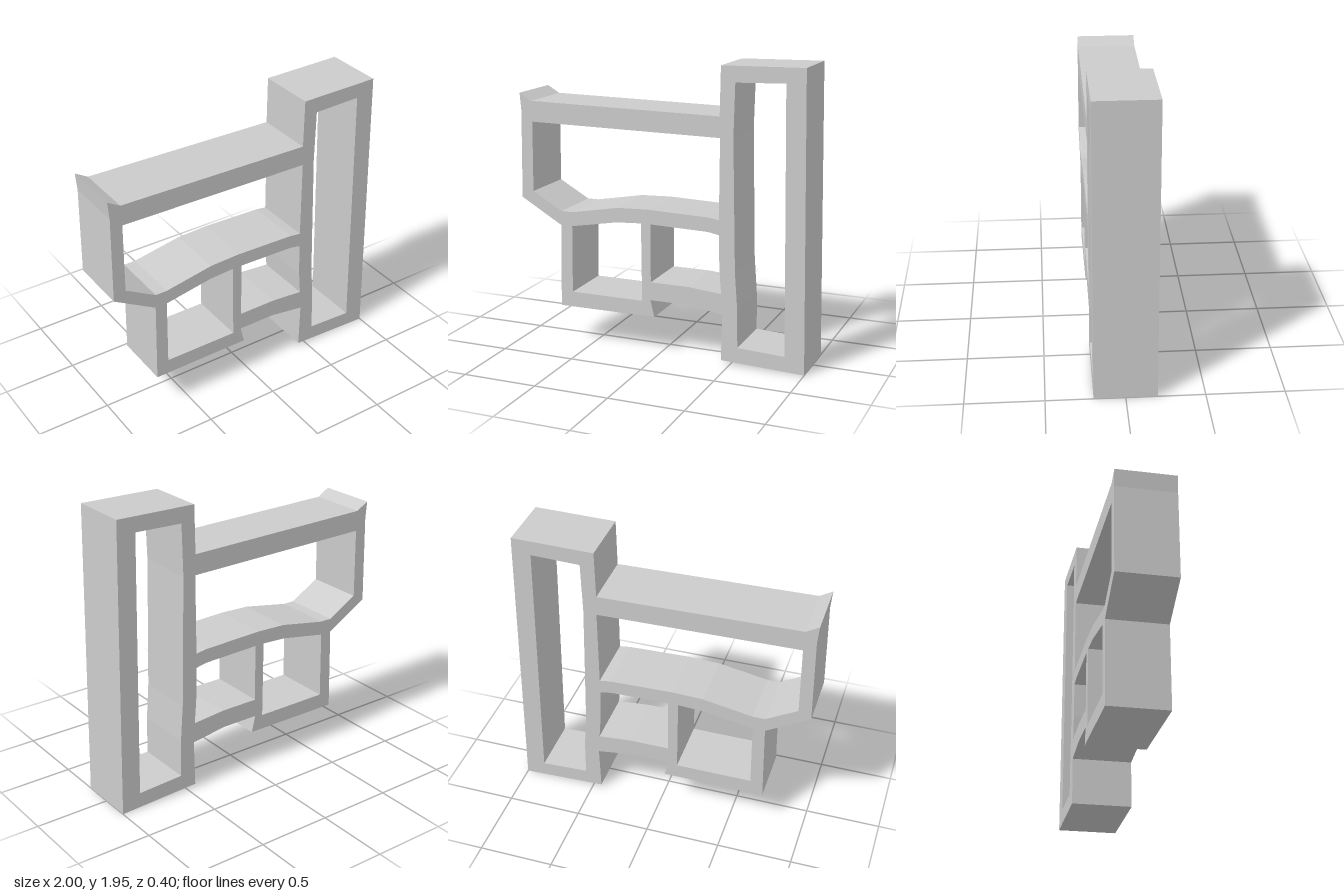
import * as THREE from 'three';

const DEPTH = 0.4;

const points = (list) => list.map(([x, y]) => new THREE.Vector2(x, y));

// Outer silhouette of the whole frame, counter-clockwise from the upper left tip
const outline = [
  [-1, 1.697], [-0.99, 1.58], [-1, 0.987], [-0.71, 0.818], [-0.72, 0.253],
  [-0.033, 0.256], [-0.06, 0.37], [0.2, 0.37], [0.445, 0.335], [0.438, 0.022],
  [1, 0], [0.963, 1.953], [0.418, 1.944], [0.413, 1.626], [-0.915, 1.647],
];

// Openings between the bars, clockwise
const openings = {
  tallColumn: [
    [0.513, 1.842], [0.838, 1.852], [0.868, 0.107], [0.55, 0.122],
    [0.546, 0.377], [0.527, 0.627], [0.52, 0.9], [0.505, 1.5],
  ],
  wideUpper: [
    [-0.91, 1.508], [0.417, 1.49], [0.415, 0.962], [0.34, 0.972], [-0.08, 0.984],
    [-0.29, 0.976], [-0.625, 0.915], [-0.705, 0.915], [-0.915, 1.035],
  ],
  lowerLeft: [
    [-0.628, 0.818], [-0.3, 0.877], [-0.125, 0.887], [-0.12, 0.358], [-0.633, 0.358],
  ],
  lowerRight: [
    [-0.057, 0.887], [0.34, 0.877], [0.415, 0.863], [0.422, 0.63],
    [0.435, 0.473], [0.21, 0.493], [-0.057, 0.493],
  ],
};

export function createModel() {
  const group = new THREE.Group();
  group.name = 'shelfFrame';

  const shape = new THREE.Shape(points(outline));
  for (const hole of Object.values(openings)) shape.holes.push(new THREE.Path(points(hole)));

  // One slab with four openings, centred in depth
  const geometry = new THREE.ExtrudeGeometry(shape, { depth: DEPTH, bevelEnabled: false });
  geometry.translate(0, 0, -DEPTH / 2);

  const frame = new THREE.Mesh(
    geometry,
    new THREE.MeshStandardMaterial({ color: 0xcccccc, flatShading: true }),
  );
  frame.name = 'frame';
  group.add(frame);
  return group;
}
